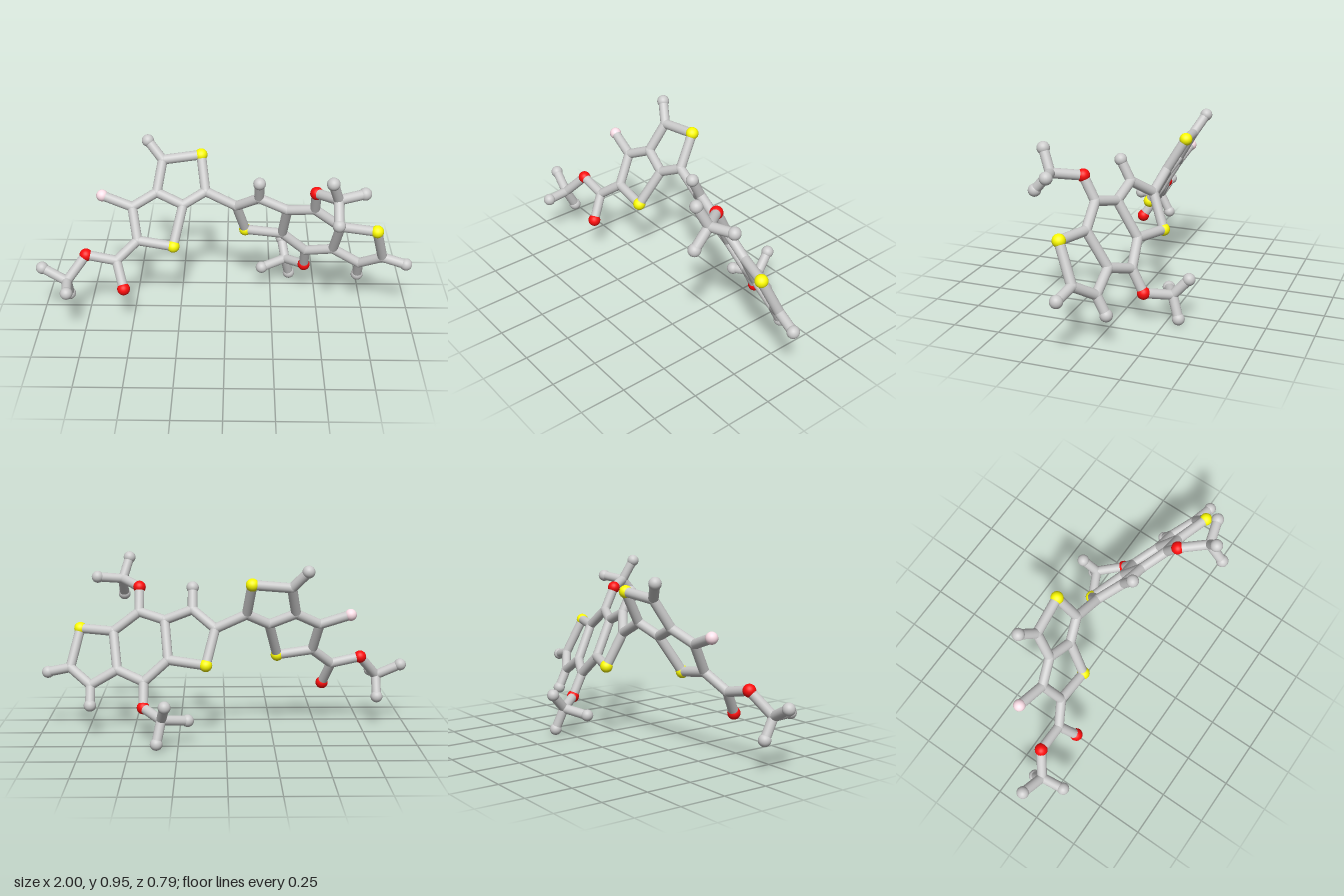
import * as THREE from 'three';

const grey = new THREE.MeshStandardMaterial({ color: 0xcccccc });
const yellow = new THREE.MeshStandardMaterial({ color: 0xffff00 });
const red = new THREE.MeshStandardMaterial({ color: 0xff0d0d });
const pink = new THREE.MeshStandardMaterial({ color: 0xffe1ea });

// ball kinds: radius and material
const kinds = {
  joint: { r: 0.027, mat: grey },
  tip: { r: 0.033, mat: grey },
  sulfur: { r: 0.034, mat: yellow },
  oxygen: { r: 0.034, mat: red },
  fluorine: { r: 0.032, mat: pink },
};
const ROD_RADIUS = 0.026;
const UP = new THREE.Vector3(0, 1, 0);

function ball(kind, p) {
  const { r, mat } = kinds[kind];
  const m = new THREE.Mesh(new THREE.SphereGeometry(r, 24, 16), mat);
  m.position.copy(p);
  m.name = kind + 'Ball';
  return m;
}

function rod(a, b) {
  const d = b.clone().sub(a);
  const m = new THREE.Mesh(new THREE.CylinderGeometry(ROD_RADIUS, ROD_RADIUS, d.length(), 20, 1, true), grey);
  m.position.copy(a).addScaledVector(d, 0.5);
  m.quaternion.setFromUnitVectors(UP, d.normalize());
  m.name = 'bondRod';
  return m;
}

// Each flat ring system lies in its own tilted plane z = f(x, y)
const leftPlane = (x, y) => 0.296 - 0.056 * x - 0.588 * y;
const rightPlane = (x, y) => -0.386 + 0.311 * x + 0.495 * y;

// Atoms: id: [kind, x, y, z]; z is taken from the plane when left out
const parts = [
  {
    name: 'doubleRing', plane: leftPlane,
    atoms: {
      a1: ['joint', -0.34, 0.82], a2: ['sulfur', -0.135, 0.84], a3: ['joint', -0.11, 0.67],
      a4: ['joint', -0.23, 0.61], a5: ['joint', -0.37, 0.67], a6: ['joint', -0.50, 0.605],
      a7: ['joint', -0.47, 0.45], a8: ['sulfur', -0.28, 0.42],
      aTip: ['tip', -0.42, 0.91], aF: ['fluorine', -0.66, 0.66],
    },
    bonds: 'a1-a2 a2-a3 a3-a4 a4-a5 a5-a1 a5-a6 a6-a7 a7-a8 a8-a4 a1-aTip a6-aF',
  },
  {
    name: 'esterArm', plane: leftPlane,
    atoms: {
      e1: ['joint', -0.58, 0.36], e2: ['oxygen', -0.54, 0.232, 0.197], e3: ['oxygen', -0.74, 0.395, 0.12],
      e4: ['joint', -0.84, 0.275, 0.19], e5: ['tip', -0.97, 0.34, 0.165],
      e6: ['tip', -0.84, 0.165, 0.135], e7: ['tip', -0.825, 0.275, 0.315],
    },
    bonds: 'a7-e1 e1-e2 e1-e3 e3-e4 e4-e5 e4-e6 e4-e7',
  },
  {
    name: 'tripleRing', plane: rightPlane,
    atoms: {
      b1: ['joint', 0.055, 0.592], b2: ['sulfur', 0.105, 0.41], b3: ['joint', 0.305, 0.425],
      b4: ['joint', 0.325, 0.62], b5: ['joint', 0.175, 0.68], b6: ['joint', 0.465, 0.655],
      b7: ['joint', 0.605, 0.55], b8: ['joint', 0.58, 0.36], b9: ['joint', 0.435, 0.31],
      b10: ['sulfur', 0.79, 0.555], b11: ['joint', 0.84, 0.355], b12: ['joint', 0.725, 0.275],
      bTip1: ['tip', 0.175, 0.79], bTip2: ['tip', 0.965, 0.325], bTip3: ['tip', 0.725, 0.175],
    },
    bonds: 'a3-b1 b1-b2 b2-b3 b3-b4 b4-b5 b5-b1 b4-b6 b6-b7 b7-b8 b8-b9 b9-b3 ' +
      'b7-b10 b10-b11 b11-b12 b12-b8 b5-bTip1 b11-bTip2 b12-bTip3',
  },
  {
    name: 'upperArm', plane: rightPlane,
    atoms: {
      u1: ['oxygen', 0.465, 0.78], u2: ['joint', 0.565, 0.808, 0.275], u3: ['tip', 0.53, 0.92, 0.325],
      u4: ['tip', 0.70, 0.823, 0.235], u5: ['tip', 0.565, 0.71, 0.363],
    },
    bonds: 'b6-u1 u1-u2 u2-u3 u2-u4 u2-u5',
  },
  {
    name: 'lowerArm', plane: rightPlane,
    atoms: {
      l1: ['oxygen', 0.435, 0.185], l2: ['joint', 0.335, 0.152, -0.28], l3: ['tip', 0.315, 0.24, -0.36],
      l4: ['tip', 0.20, 0.13, -0.215], l5: ['tip', 0.36, 0.035, -0.32],
    },
    bonds: 'b9-l1 l1-l2 l2-l3 l2-l4 l2-l5',
  },
];

export function createModel() {
  const model = new THREE.Group();
  model.name = 'ballAndStickMolecule';
  const at = {};
  for (const part of parts) {
    const group = new THREE.Group();
    group.name = part.name;
    for (const [id, [kind, x, y, z]] of Object.entries(part.atoms)) {
      at[id] = new THREE.Vector3(x, y, z ?? part.plane(x, y));
      group.add(ball(kind, at[id]));
    }
    for (const bond of part.bonds.split(' ')) {
      const [a, b] = bond.split('-');
      group.add(rod(at[a], at[b]));
    }
    model.add(group);
  }
  return model;
}
